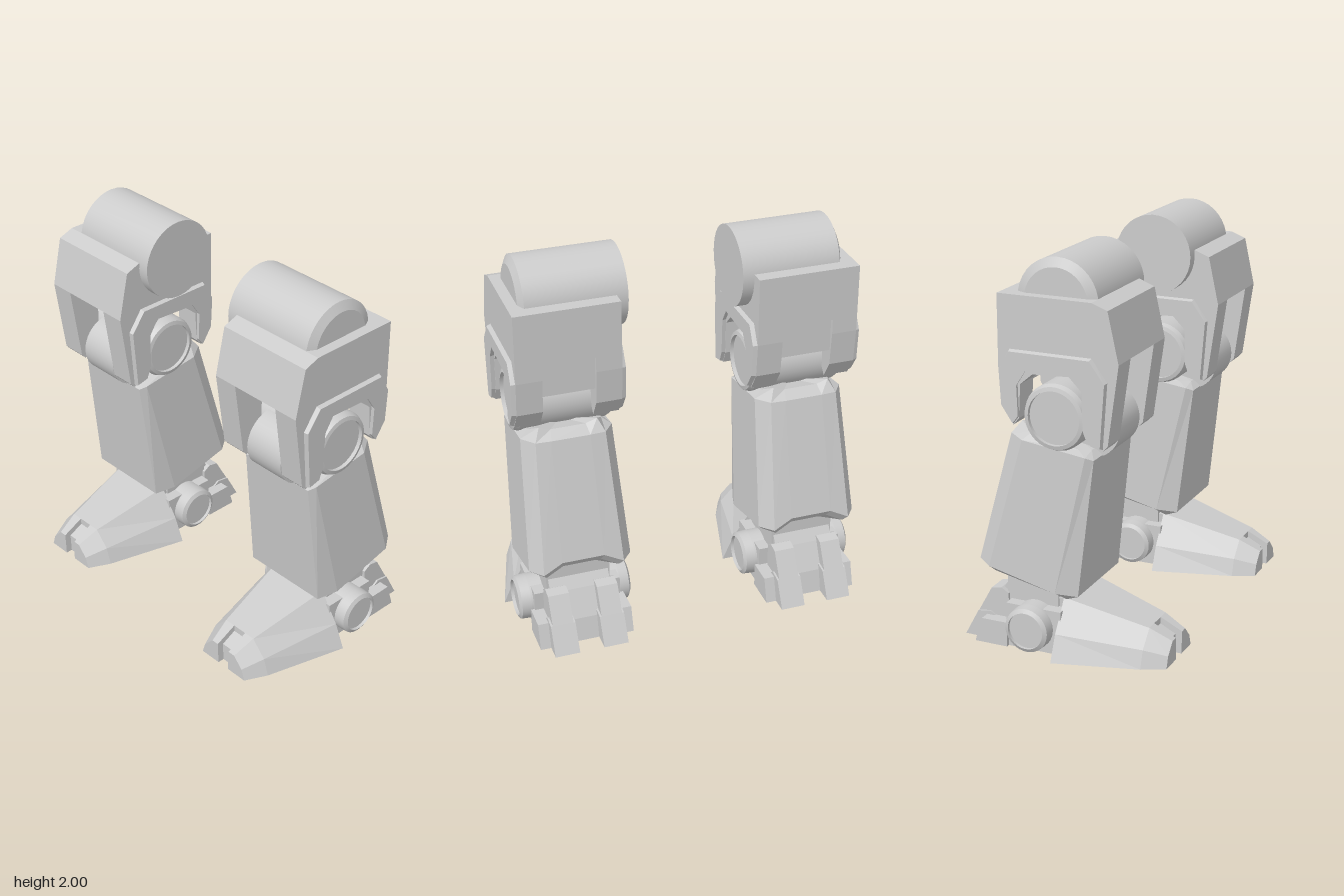
import * as THREE from 'three';

const smooth = new THREE.MeshStandardMaterial({ color: 0xcccccc });
const flat = new THREE.MeshStandardMaterial({ color: 0xcccccc, flatShading: true });

function add(group, name, geometry, material = flat) {
  const mesh = new THREE.Mesh(geometry, material);
  mesh.name = name;
  group.add(mesh);
  return mesh;
}

function box(x0, x1, y0, y1, z0, z1) {
  return new THREE.BoxGeometry(x1 - x0, y1 - y0, z1 - z0)
    .translate((x0 + x1) / 2, (y0 + y1) / 2, (z0 + z1) / 2);
}

// Side profile of [z, y] points, extruded from x0 to x1
function slab(profile, x0, x1) {
  const shape = new THREE.Shape(profile.map(([z, y]) => new THREE.Vector2(z, y)));
  return new THREE.ExtrudeGeometry(shape, { depth: x1 - x0, bevelEnabled: false })
    .rotateY(-Math.PI / 2).translate(x1, 0, 0);
}

// Round part along x from [radius, x] points, closed on the axis with sharp edges
function roundX(profile, y, z) {
  const pts = [[0, profile[0][1]], ...profile, [0, profile[profile.length - 1][1]]];
  const parts = new THREE.Group();
  for (let i = 0; i < pts.length - 1; i++) {
    const g = new THREE.LatheGeometry(
      [pts[i], pts[i + 1]].map(([r, x]) => new THREE.Vector2(r, x)), 36);
    add(parts, 'surface', g.rotateZ(-Math.PI / 2).translate(0, y, z), smooth);
  }
  return parts;
}

function addRound(group, name, profile, y, z) {
  const part = roundX(profile, y, z);
  part.name = name;
  group.add(part);
}

// Skin over a list of loops, with both ends capped
function loft(rings) {
  const n = rings[0].length, pos = [], index = [];
  rings.forEach((ring) => ring.forEach((p) => pos.push(...p)));
  for (let r = 0; r < rings.length - 1; r++) {
    for (let i = 0; i < n; i++) {
      const a = r * n + i, b = r * n + (i + 1) % n;
      index.push(a, b, b + n, a, b + n, a + n);
    }
  }
  [0, rings.length - 1].forEach((r) => {
    const c = pos.length / 3;
    for (let k = 0; k < 3; k++) pos.push(rings[r].reduce((s, p) => s + p[k], 0) / n);
    for (let i = 0; i < n; i++) {
      const a = r * n + i, b = r * n + (i + 1) % n;
      if (r) index.push(a, b, c); else index.push(b, a, c);
    }
  });
  const g = new THREE.BufferGeometry();
  g.setAttribute('position', new THREE.Float32BufferAttribute(pos, 3));
  g.setIndex(index);
  g.computeVertexNormals();
  return g;
}

const mirrorX = (half) => [...half, ...half.map(([x, y, z]) => [-x, y, z]).reverse()];

function thigh() {
  const g = new THREE.Group();
  g.name = 'thigh';
  add(g, 'thighBlock', slab([[-0.28, 1.54], [0.345, 1.54], [0.29, 1.79],
    [0.21, 1.82], [-0.28, 1.82]], -0.268, 0.268));
  add(g, 'kneeRoof', slab([[-0.16, 1.42], [-0.09, 1.45], [0.09, 1.455], [0.15, 1.41],
    [0.22, 1.54], [-0.25, 1.54]], -0.135, 0.135));
  add(g, 'backPanel', box(-0.135, 0.135, 1.36, 1.54, -0.26, -0.2));

  // Arched cheeks beside the knee, each with a raised, tapered trim
  const cheek = [[-0.28, 1.54], [-0.28, 1.46], [-0.265, 1.28], [-0.205, 1.185], [-0.175, 1.22],
    [-0.165, 1.39], [-0.1, 1.445], [0.09, 1.455], [0.165, 1.38], [0.17, 1.2], [0.2, 1.13],
    [0.265, 1.115], [0.288, 1.14], [0.345, 1.54]];
  const trim = [[-0.22, 1.56], [-0.275, 1.46], [-0.265, 1.28], [-0.205, 1.19], [-0.175, 1.23],
    [-0.18, 1.39], [-0.13, 1.47], [0.12, 1.48], [0.17, 1.4], [0.175, 1.2], [0.2, 1.135],
    [0.265, 1.12], [0.29, 1.45], [0.21, 1.56]];
  for (const s of [1, -1]) {
    add(g, 'thighCheek', slab(cheek, s > 0 ? 0.135 : -0.268, s > 0 ? 0.268 : -0.135));
    const t = slab(trim, s > 0 ? 0.26 : -0.29, s > 0 ? 0.29 : -0.26);
    const p = t.attributes.position;
    for (let i = 0; i < p.count; i++) {
      if (Math.abs(p.getX(i)) > 0.28) {
        p.setZ(i, p.getZ(i) * 0.97);
        p.setY(i, 1.35 + (p.getY(i) - 1.35) * 0.95);
      }
    }
    add(g, 'archTrim', t);
  }
  return g;
}

function shin() {
  const rings = [
    [[0.2, 0.295, 0.03], [0.24, 0.34, -0.04], [0.24, 0.4, -0.34], [0.19, 0.405, -0.41], [0.1, 0.45, -0.4]],
    [[0.235, 0.335, 0.11], [0.268, 0.345, 0], [0.268, 0.43, -0.36], [0.21, 0.44, -0.44], [0.11, 0.49, -0.43]],
    [[0.215, 1.04, 0.19], [0.237, 1.055, 0.155], [0.237, 1.1, -0.18], [0.18, 1.11, -0.265], [0.1, 1.11, -0.27]],
    [[0.15, 1.07, 0.15], [0.19, 1.075, 0.1], [0.19, 1.13, -0.15], [0.15, 1.17, -0.22], [0.09, 1.15, -0.22]],
  ];
  return loft(rings.map(mirrorX));
}

function foot() {
  const g = new THREE.Group();
  g.name = 'foot';
  add(g, 'ankleNeck', box(-0.17, 0.17, 0.2, 0.46, -0.31, -0.03));
  add(g, 'footBody', box(-0.23, 0.23, 0, 0.23, -0.29, 0.01));
  addRound(g, 'anklePivot', [[0.095, -0.285], [0.095, -0.302], [0.115, -0.29], [0.118, -0.24],
    [0.118, 0.24], [0.115, 0.29], [0.095, 0.302], [0.095, 0.285]], 0.13, -0.15);

  // Forefoot wedge ending in two toes with a recessed bar between them
  add(g, 'forefoot', loft([
    mirrorX([[0.327, 0, 0], [0.27, 0.13, 0], [0.165, 0.285, 0]]),
    mirrorX([[0.21, 0, 0.43], [0.18, 0.09, 0.43], [0.1, 0.175, 0.43]]),
  ]));
  add(g, 'toeBar', slab([[0.42, 0], [0.51, 0], [0.51, 0.1], [0.42, 0.145]], -0.04, 0.04));
  const toe = [
    [[0.035, 0, 0.43], [0.21, 0, 0.43], [0.18, 0.09, 0.43], [0.1, 0.175, 0.43], [0.04, 0.175, 0.43]],
    [[0.035, 0, 0.545], [0.155, 0, 0.545], [0.135, 0.06, 0.545], [0.08, 0.118, 0.545], [0.04, 0.118, 0.545]],
  ];
  for (const s of [1, -1]) {
    add(g, 'toe', loft(s > 0 ? toe
      : toe.map((ring) => ring.map(([x, y, z]) => [-x, y, z]).reverse())));
    // Heel claws and the small blocks flanking them
    const span = (a, b) => (s > 0 ? [a, b] : [-b, -a]);
    add(g, 'heelClaw', slab([[-0.38, 0], [-0.545, 0], [-0.47, 0.14], [-0.4, 0.15],
      [-0.36, 0.12]].reverse(), ...span(0.065, 0.195)));
    add(g, 'heelClawTop', slab([[-0.3, 0.1], [-0.47, 0.14], [-0.395, 0.275], [-0.34, 0.285],
      [-0.3, 0.26]].reverse(), ...span(0.075, 0.185)));
    add(g, 'heelBlock', slab([[-0.28, 0], [-0.46, 0], [-0.42, 0.13], [-0.28, 0.13]].reverse(),
      ...span(0.14, 0.25)));
  }
  add(g, 'heel', slab([[0, 0], [0, 0.275], [-0.31, 0.32], [-0.35, 0.26], [-0.42, 0.12],
    [-0.45, 0]], -0.16, 0.16));
  return g;
}

function leg(side) {
  const g = new THREE.Group();
  g.name = side > 0 ? 'leftLeg' : 'rightLeg';
  // Hip drum, chamfered on the outer end
  const drum = [[0.21, -0.327], [0.21, 0.19], [0.165, 0.213]];
  addRound(g, 'hipDrum', side > 0 ? drum
    : drum.map(([r, x]) => [r, -x]).reverse(), 1.79, 0);
  g.add(thigh());
  // Knee axle with dished ends, and the rounded cap in front
  addRound(g, 'kneeAxle', [[0.135, -0.235], [0.135, -0.255], [0.155, -0.25], [0.166, -0.225],
    [0.166, 0.225], [0.155, 0.25], [0.135, 0.255], [0.135, 0.235]], 1.235, 0);
  addRound(g, 'kneeCap', [[0.155, -0.115], [0.155, 0.115]], 1.175, 0.125);
  add(g, 'shin', shin());
  g.add(foot());
  g.position.x = side * 0.6225;
  return g;
}

export function createModel() {
  const model = new THREE.Group();
  model.name = 'legs';
  model.add(leg(1), leg(-1));
  return model;
}
